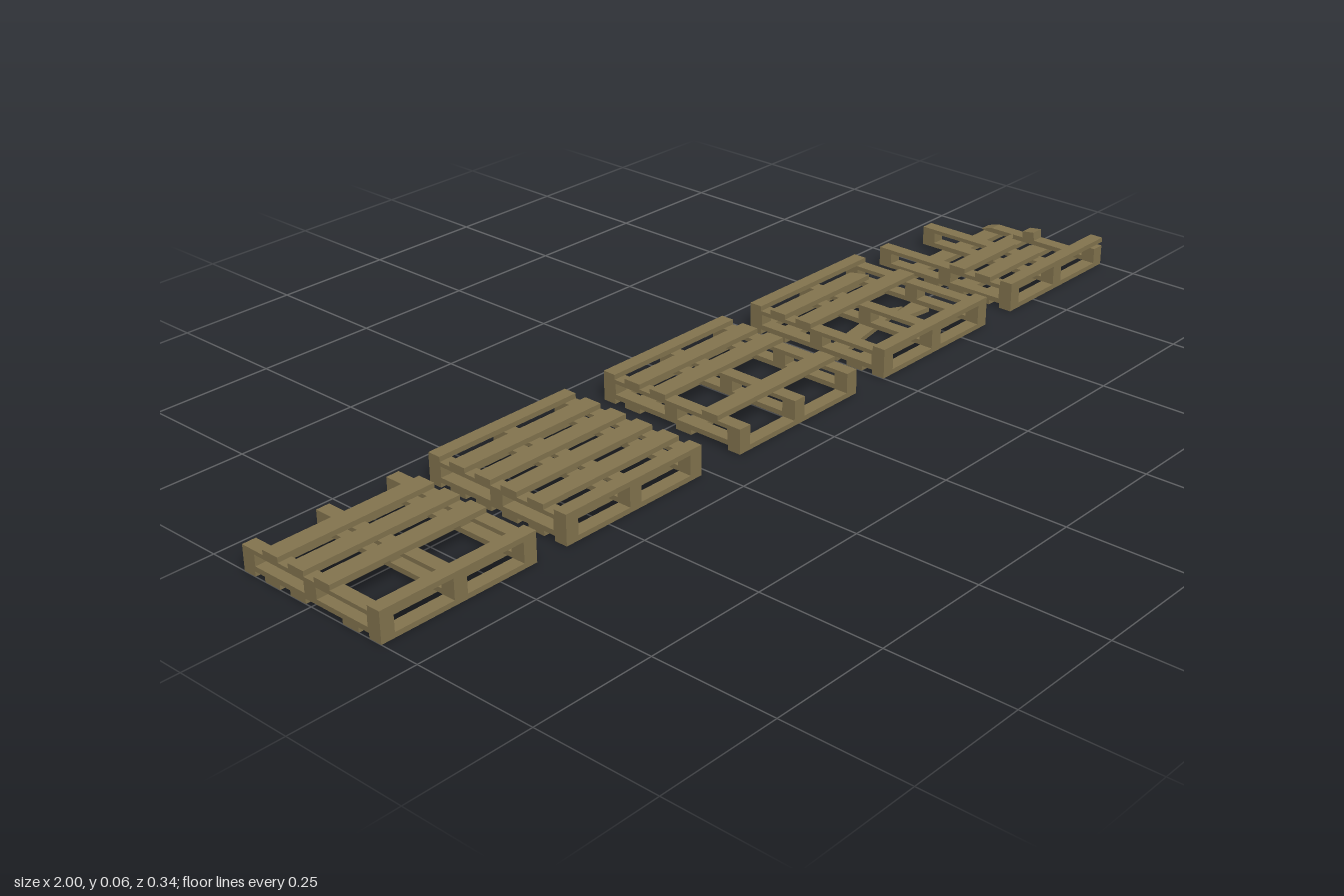
import * as THREE from 'three';

export function createModel() {
  const wood = new THREE.MeshStandardMaterial({ color: 0x84754f });
  wood.name = 'weathered wood';

  const HALF = 0.166, DEPTH = 0.168, RAIL = 0.028, THICK = 0.01;
  const TOP = 0.05, BOTTOM = 0;
  // slat rows from back to front: [centre z, width]
  const ROWS = [[-0.154, 0.028], [-0.096, 0.038], [-0.032, 0.038], [0.032, 0.038], [0.096, 0.038], [0.154, 0.028]];

  const add = (group, geometry, name) => {
    const mesh = new THREE.Mesh(geometry, wood);
    mesh.name = name;
    group.add(mesh);
    return mesh;
  };
  const shapeOf = pts => new THREE.Shape(pts.map(p => new THREE.Vector2(...p)));

  // runner beam: profile in (z, y), extruded across x
  const runner = (group, x, shape, name) => {
    const g = new THREE.ExtrudeGeometry(shape, { depth: RAIL, bevelEnabled: false });
    g.rotateY(-Math.PI / 2).translate(x + RAIL / 2, 0, 0);
    add(group, g, name);
  };
  const wholeProfile = () => {
    const s = shapeOf([[-DEPTH, 0.01], [DEPTH, 0.01], [DEPTH, 0.05], [-DEPTH, 0.05]]);
    for (const [a, b] of [[-0.138, -0.014], [0.016, 0.138]])
      s.holes.push(new THREE.Path([[a, 0.02], [a, 0.042], [b, 0.042], [b, 0.02]].map(p => new THREE.Vector2(...p))));
    return s;
  };
  // runner that has lost its upper beam and its back end
  const brokenProfile = () => shapeOf([
    [-0.122, 0.012], [-0.11, 0.01], [DEPTH, 0.01], [DEPTH, 0.042], [0.138, 0.042], [0.138, 0.02],
    [0.016, 0.02], [0.014, 0.038], [-0.014, 0.034], [-0.014, 0.02], [-0.095, 0.02]]);

  const slat = (group, row, y, name) => {
    const [z, w] = ROWS[row];
    add(group, new THREE.BoxGeometry(HALF * 2, THICK, w), name).position.set(0, y + THICK / 2, z);
  };
  // snapped board: plan outline in (x, z)
  const snapped = (group, pts, y) => {
    const g = new THREE.ExtrudeGeometry(shapeOf(pts), { depth: THICK, bevelEnabled: false });
    g.rotateX(Math.PI / 2).translate(0, y + THICK, 0);
    add(group, g, 'brokenSlat');
  };

  const pallets = [
    { x: -0.834, top: [1, 2, 3, 5], bottom: [0, 1, 2, 4, 5] },
    { x: -0.434, top: [0, 1, 2, 3, 4, 5], bottom: [0, 1, 2, 3, 4, 5] },
    { x: 0, top: [0, 1, 2, 4], bottom: [0, 1, 3, 5] },
    {
      x: 0.416, top: [0, 2, 5], bottom: [0, 1, 4, 5],
      broken: [
        [TOP, [[-HALF, -0.115], [0.085, -0.115], [0.1, -0.078], [-HALF, -0.078]]],
        [BOTTOM, [[-0.17, 0.016], [0.05, -0.022], [0.085, -0.012], [0.11, 0.002], [-0.163, 0.053]]],
        [BOTTOM, [[0.075, 0.01], [0.14, 0.002], [0.142, 0.045], [0.085, 0.038]]]
      ]
    },
    {
      x: 0.834, top: [5], bottom: [1, 2, 3, 4, 5], damaged: true,
      broken: [
        [TOP, [[-HALF, 0.077], [0.032, 0.077], [0.012, 0.092], [0.008, 0.115], [-HALF, 0.115]]],
        [TOP, [[-HALF, 0.013], [0.06, 0.013], [0.035, 0.03], [0.015, 0.051], [-HALF, 0.051]]]
      ]
    }
  ];

  const model = new THREE.Group();
  model.name = 'palletRow';
  pallets.forEach((p, i) => {
    const group = new THREE.Group();
    group.name = `pallet${i + 1}`;
    group.position.x = p.x;
    for (const side of [-1, 0, 1]) {
      const bad = p.damaged && side === 1;
      runner(group, side * (HALF - RAIL / 2), bad ? brokenProfile() : wholeProfile(), bad ? 'brokenRunner' : 'runner');
    }
    p.top.forEach(r => slat(group, r, TOP, 'topSlat'));
    p.bottom.forEach(r => slat(group, r, BOTTOM, 'bottomSlat'));
    (p.broken || []).forEach(([y, pts]) => snapped(group, pts, y));
    model.add(group);
  });
  return model;
}
